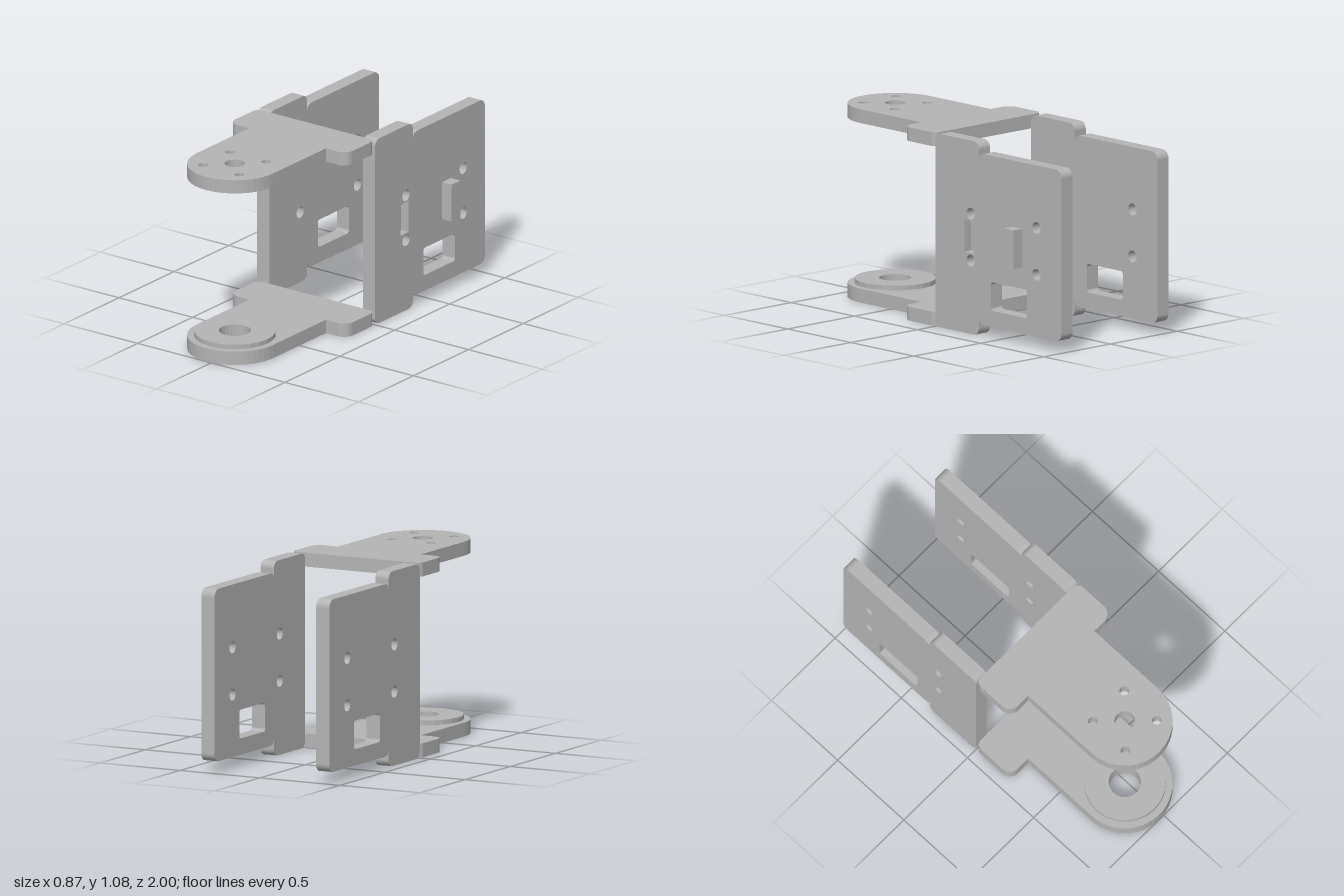
import * as THREE from 'three';

const grey = new THREE.MeshStandardMaterial({ color: 0xb4b4b4 });
grey.name = 'plain grey';

// Closed outline from [x, y, cornerRadius] points
function outline(points, Type = THREE.Shape) {
  const path = new Type();
  const n = points.length;
  const k = 0.5523;
  points.forEach(([x, y, r], i) => {
    const corner = new THREE.Vector2(x, y);
    const toward = (p, d) => new THREE.Vector2(p[0], p[1]).sub(corner).setLength(d).add(corner);
    const prev = points[(i + n - 1) % n], next = points[(i + 1) % n];
    const a = r ? toward(prev, r) : corner;
    if (i === 0) path.moveTo(a.x, a.y); else path.lineTo(a.x, a.y);
    if (!r) return;
    const b = toward(next, r);
    const ca = a.clone().lerp(corner, k), cb = b.clone().lerp(corner, k);
    path.bezierCurveTo(ca.x, ca.y, cb.x, cb.y, b.x, b.y);
  });
  path.closePath();
  return path;
}

const rect = (x0, y0, x1, y1, r = 0) =>
  outline([[x0, y0, r], [x1, y0, r], [x1, y1, r], [x0, y1, r]], THREE.Path);
const circle = (x, y, r, Type = THREE.Path) => new Type().absarc(x, y, r, 0, Math.PI * 2, false);

function extrude(shape, holes, depth, name) {
  shape.holes.push(...holes);
  const geometry = new THREE.ExtrudeGeometry(shape, { depth, bevelEnabled: false, curveSegments: 12 });
  const mesh = new THREE.Mesh(geometry, grey);
  mesh.name = name;
  return mesh;
}

// Upright plate: profile drawn in (-z, y), thickness along x
function sidePlate(x, depth, name, extraHoles = []) {
  const shape = outline([
    [0, 0, 0.04], [0.345, 0, 0.04], [0.345, 0.095, 0], [0.355, 0.073, 0], [0.38, 0.062, 0],
    [1, 0.062, 0.045], [1, 1.015, 0.045],
    [0.38, 1.015, 0], [0.355, 1.005, 0], [0.345, 0.982, 0], [0.345, 1.075, 0.04], [0, 1.075, 0.04],
  ]);
  const holes = [rect(0.441, 0.153, 0.727, 0.312, 0.018), ...extraHoles];
  for (const u of [0.281, 0.802])
    for (const y of [0.407, 0.668]) holes.push(circle(u, y, 0.033));
  const mesh = extrude(shape, holes, depth, name);
  mesh.rotation.y = Math.PI / 2;
  mesh.position.x = x;
  return mesh;
}

// Flat part: profile drawn in (x, z), thickness downwards from top
function flat(shape, holes, top, depth, name) {
  const mesh = extrude(shape, holes, depth, name);
  mesh.rotation.x = Math.PI / 2;
  mesh.position.y = top;
  return mesh;
}

const CX = -0.034, CZ = 0.74;

// T-shaped arm with a rounded end, hub hole and four screw holes
function arm(top, hubRadius, name) {
  const shape = outline([
    [-0.435, 0, 0.04], [0.366, 0, 0.04], [0.366, 0.26, 0.06], [0.226, 0.26, 0],
    [0.226, 1, 0.2599], [-0.294, 1, 0.2599], [-0.294, 0.26, 0], [-0.435, 0.26, 0.06],
  ]);
  const holes = [circle(CX, CZ, hubRadius)];
  for (const dx of [-0.123, 0.123])
    for (const dz of [-0.123, 0.123]) holes.push(circle(CX + dx, CZ + dz, 0.026));
  return flat(shape, holes, top, 0.077, name);
}

export function createModel() {
  const model = new THREE.Group();
  model.name = 'servoBracket';

  // Horizontal arms and the bearing ring
  model.add(arm(1.075, 0.056, 'topArm'), arm(0.077, 0.088, 'bottomArm'));
  model.add(flat(circle(CX, CZ, 0.223, THREE.Shape), [circle(CX, CZ, 0.088)], 0.103, 0.026, 'bearingRing'));

  // Side plates; the left one has a blind slot in its outer layer
  model.add(sidePlate(-0.435, 0.083, 'rightPlate'));
  const left = new THREE.Group();
  left.name = 'leftPlate';
  left.add(
    sidePlate(0.283, 0.033, 'leftPlateInner'),
    sidePlate(0.316, 0.05, 'leftPlateOuter', [rect(0.23, 0.449, 0.305, 0.628)]),
  );
  model.add(left);

  // Locating tab
  const tab = new THREE.Mesh(new THREE.BoxGeometry(0.065, 0.215, 0.08), grey);
  tab.name = 'locatingTab';
  tab.position.set(0.3985, 0.538, -0.65);
  model.add(tab);

  return model;
}
